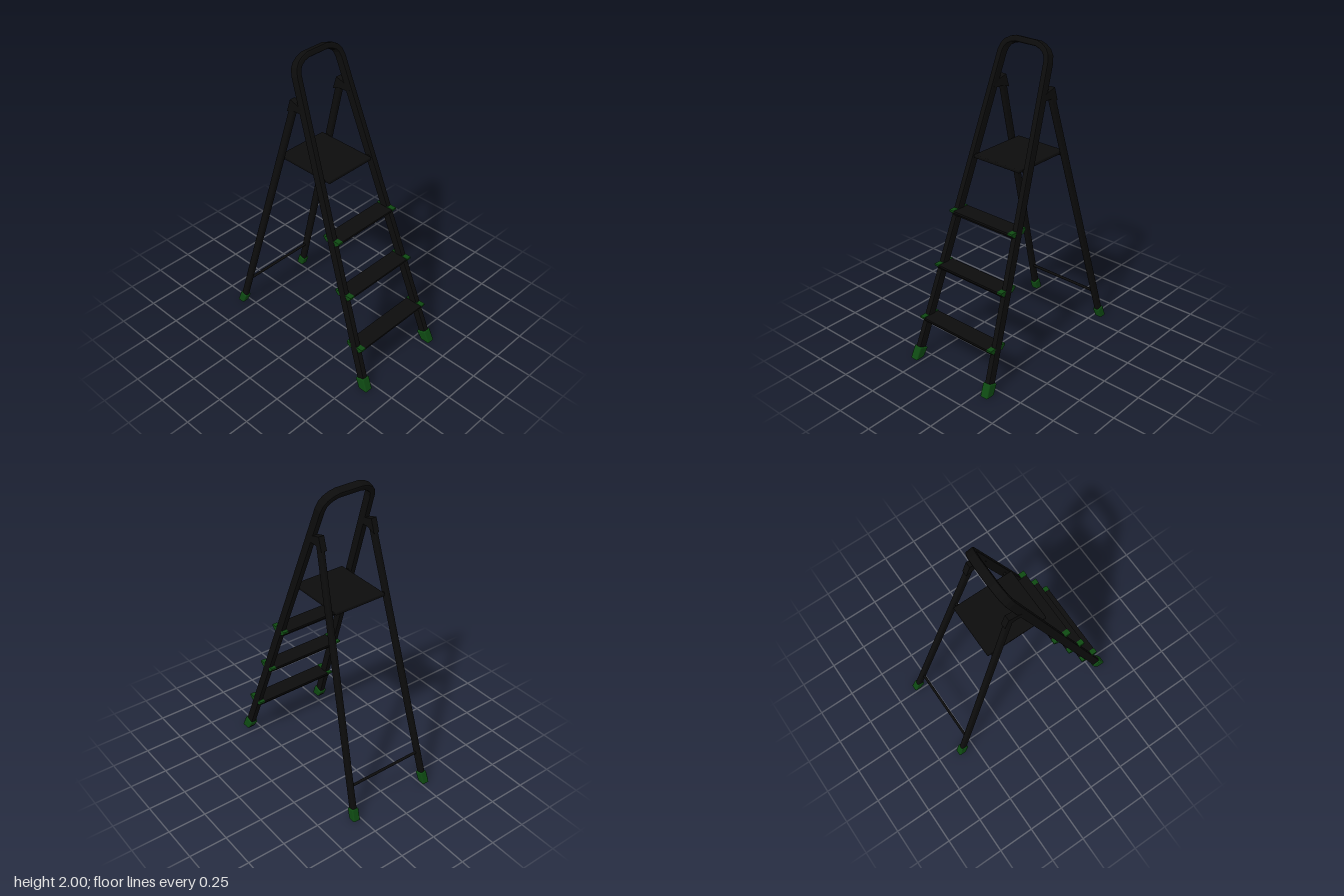
import * as THREE from 'three';
import { RoundedBoxGeometry } from 'three/addons/geometries/RoundedBoxGeometry.js';

const black = new THREE.MeshStandardMaterial({ color: 0x0c0c0c });
black.name = 'black frame';
const green = new THREE.MeshStandardMaterial({ color: 0x0e4a12 });
green.name = 'green plastic';

const V = (x, y, z) => new THREE.Vector3(x, y, z);
// Centre line of the front rails and rear legs at a given height
const railX = y => 0.568 - 0.36 * y;
const railZ = y => 0.3 - 0.0665 * y;
const rearX = y => -0.585 + 0.272 * y;
const rearZ = y => 0.282 - 0.055 * y;

export function createModel() {
  const model = new THREE.Group();
  model.name = 'stepladder';

  function add(name, geometry, material) {
    const mesh = new THREE.Mesh(geometry, material);
    mesh.name = name;
    model.add(mesh);
    return mesh;
  }

  // Rounded bar between two points: w across x, d across z
  function barGeometry(a, b, w, d, radius) {
    const up = b.clone().sub(a);
    const length = up.length();
    up.normalize();
    const x = up.clone().cross(V(0, 0, 1)).normalize();
    const z = x.clone().cross(up);
    const m = new THREE.Matrix4().makeBasis(x, up, z).setPosition(a.clone().add(b).multiplyScalar(0.5));
    return new RoundedBoxGeometry(w, length, d, 2, radius).applyMatrix4(m);
  }

  // Foot sleeve cut flat at the floor
  function foot(name, a, b, w, d) {
    const g = barGeometry(a, b, w, d, 0.008);
    const p = g.attributes.position;
    for (let i = 0; i < p.count; i++) p.setY(i, Math.max(0, p.getY(i)));
    add(name, g, green);
  }

  // Crossbar running along z
  function rod(name, x, y, halfLength, radius) {
    const g = new THREE.CylinderGeometry(radius, radius, halfLength * 2, 10);
    g.rotateX(Math.PI / 2).translate(x, y, 0);
    add(name, g, black);
  }

  // Front rails and top handle: one bent band, drawn in the sloping rail plane
  const up = V(-0.36, 1, 0).normalize();
  const stretch = Math.hypot(1, 0.36);
  const half = [[0.299, 0.02], [0.176, 1.885], [0.166, 1.92], [0.147, 1.943], [0.115, 1.961], [0.078, 1.971]];
  const centre = [...half, ...half.slice().reverse().map(([z, y]) => [-z, y])]
    .map(([z, y]) => new THREE.Vector2(z, y * stretch));
  const bevel = 0.009;
  const offset = side => centre.map((p, i) => {
    const a = centre[Math.max(0, i - 1)], b = centre[Math.min(centre.length - 1, i + 1)];
    const t = b.clone().sub(a).normalize();
    return new THREE.Vector2(p.x - t.y * side, p.y + t.x * side);
  });
  const band = new THREE.Shape([...offset(-0.010), ...offset(0.010).reverse()]);
  const rail = new THREE.ExtrudeGeometry(band, {
    depth: 0.038, bevelEnabled: true, bevelSize: bevel, bevelThickness: bevel, bevelSegments: 2,
  });
  rail.translate(0, 0, -0.019);
  const across = V(0, 0, 1);
  rail.applyMatrix4(new THREE.Matrix4().makeBasis(across, up, across.clone().cross(up)).setPosition(railX(0), 0, 0));
  add('frontRailsAndHandle', rail, black);

  // Hinge plate outline, seen from the side
  const hinge = new THREE.Shape([[-0.165, 1.65], [-0.105, 1.672], [-0.06, 1.672], [-0.03, 1.68],
    [-0.06, 1.715], [-0.138, 1.737]].map(p => new THREE.Vector2(...p)));

  for (const s of [1, -1]) {
    const side = s > 0 ? 'Left' : 'Right';
    const rear = y => V(rearX(y), y, s * rearZ(y));
    const front = y => V(railX(y), y, s * railZ(y));
    add('rearLeg' + side, barGeometry(rear(0.02), rear(1.715), 0.045, 0.032, 0.01), black);
    foot('rearFoot' + side, rear(-0.03), rear(0.07), 0.054, 0.048);
    foot('frontFoot' + side, front(-0.03), front(0.07), 0.068, 0.056);
    const g = new THREE.ExtrudeGeometry(hinge, { depth: 0.038, bevelEnabled: false });
    g.translate(0, 0, s * 0.188 - 0.019);
    add('hinge' + side, g, black);
  }

  // Treads with tapered section and green end caps
  const section = (w, top, bottom) => new THREE.Shape([[-w, top], [-w, top - 0.012], [-w * 0.62, bottom],
    [w * 0.62, bottom], [w, top - 0.012], [w, top]].map(p => new THREE.Vector2(...p)));
  for (const y of [0.28, 0.615, 0.95]) {
    const x = railX(y) + 0.006;
    const end = railZ(y);
    const tread = new THREE.ExtrudeGeometry(section(0.06, 0.006, -0.033), { depth: end * 2, bevelEnabled: false });
    tread.translate(x, y, -end);
    add('tread', tread, black);
    for (const s of [1, -1]) {
      const cap = new THREE.ExtrudeGeometry(section(0.063, 0.009, -0.024), { depth: 0.034, bevelEnabled: false });
      cap.translate(x, y, s * end - 0.017);
      add('treadEndCap', cap, green);
    }
  }

  // Platform and its supporting rods
  const platform = new RoundedBoxGeometry(0.415, 0.022, 0.36, 2, 0.006);
  platform.translate(-0.06, 1.287, 0);
  add('platform', platform, black);
  rod('platformRearRod', rearX(1.28), 1.28, 0.215, 0.009);
  rod('platformFrontRod', railX(1.28), 1.28, 0.215, 0.009);

  // Brace between the rear legs
  rod('rearBrace', rearX(0.21), 0.21, 0.27, 0.009);
  return model;
}
